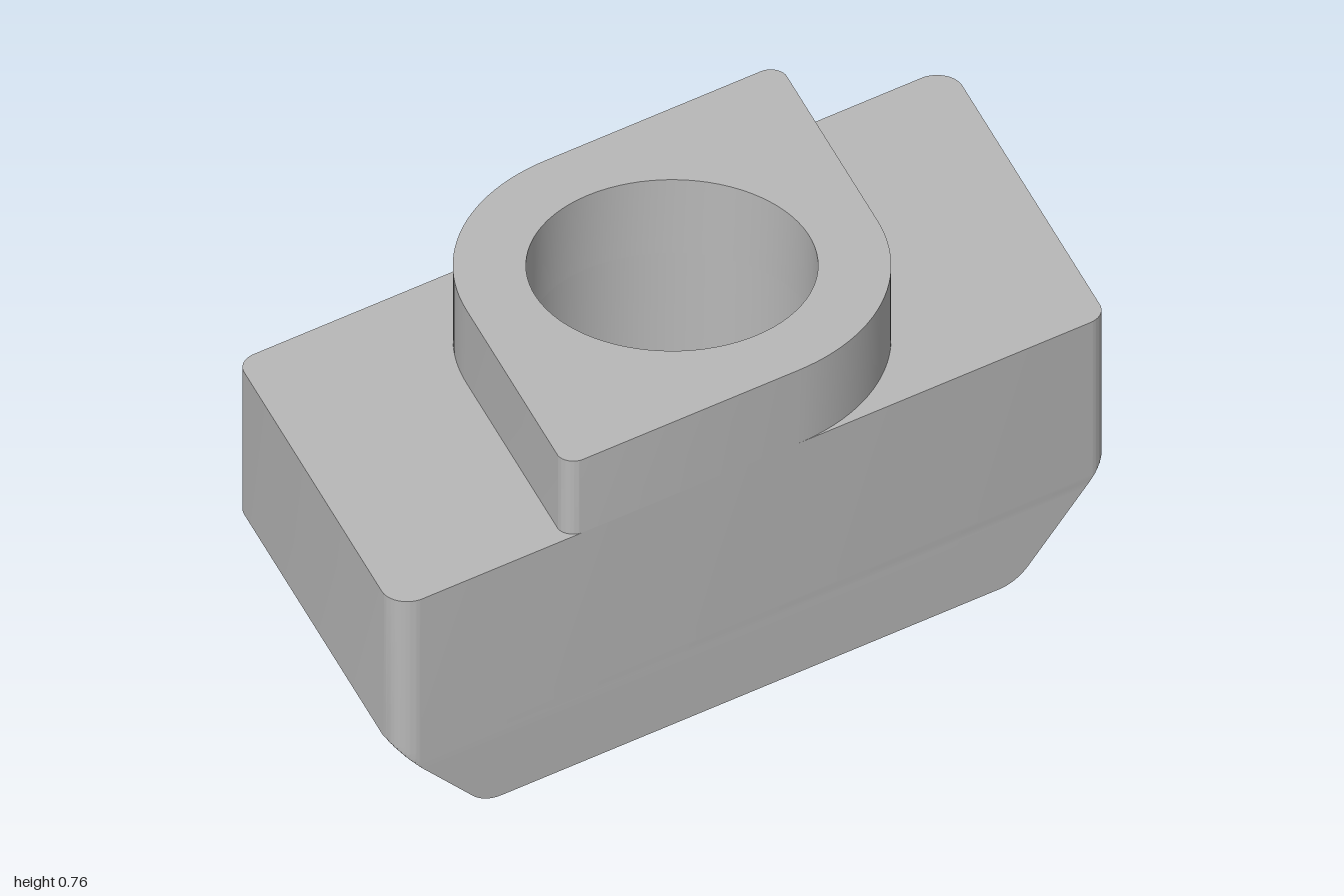
import * as THREE from 'three';
import { toCreasedNormals } from 'three/addons/utils/BufferGeometryUtils.js';

const SLANT = Math.PI / 12;          // lean of the two end faces
const COS = Math.cos(SLANT), SIN = Math.sin(SLANT);
const HALF_DEPTH = 0.45, BORE = 0.3;

// Parallelogram outline, counter-clockwise, with its own radius for the
// obtuse and the acute corners; the second half repeats the first turned 180°.
function outline(halfWidth, obtuse, acute) {
  const half = [];
  const arc = (r, side, from, to) => {
    const cy = side * (HALF_DEPTH - r);
    const cx = (halfWidth - r + cy * SIN) / COS;
    const n = 24;
    for (let i = 0; i <= n; i++) {
      const a = from + (to - from) * i / n;
      half.push(new THREE.Vector2(cx + r * Math.cos(a), cy + r * Math.sin(a)));
    }
  };
  arc(obtuse, -1, -Math.PI / 2, -SLANT);
  arc(acute, 1, -SLANT, Math.PI / 2);
  return [...half, ...half.map(p => new THREE.Vector2(-p.x, -p.y))];
}

// Solid with a round bore; each level is [height, half width between end planes].
function boredSolid(points, levels) {
  const pos = [];
  const tri = (...corners) => corners.forEach(([p, y]) => pos.push(p.x, y, -p.y));
  const clip = limit => points.map(p => {
    const shift = p.y * SIN / COS;
    return new THREE.Vector2(THREE.MathUtils.clamp(p.x - shift, -limit / COS, limit / COS) + shift, p.y);
  });
  const wall = (a, ya, b, yb) => a.forEach((p, i) => {
    const j = (i + 1) % a.length;
    tri([p, ya], [a[j], ya], [b[j], yb]);
    tri([p, ya], [b[j], yb], [b[i], yb]);
  });
  const hole = [];
  for (let i = 0; i < 80; i++) {
    const a = -i / 80 * Math.PI * 2;
    hole.push(new THREE.Vector2(BORE * Math.cos(a), BORE * Math.sin(a)));
  }
  const rings = levels.map(([y, limit]) => ({ y, ring: clip(limit) }));
  for (let i = 1; i < rings.length; i++) {
    wall(rings[i - 1].ring, rings[i - 1].y, rings[i].ring, rings[i].y);
  }
  const bottom = rings[0], top = rings[rings.length - 1];
  wall(hole, bottom.y, hole, top.y);
  for (const { ring, y } of [bottom, top]) {
    const all = [...ring, ...hole];
    for (const [a, b, c] of THREE.ShapeUtils.triangulateShape(ring, [hole])) {
      if (y === top.y) tri([all[a], y], [all[b], y], [all[c], y]);
      else tri([all[a], y], [all[c], y], [all[b], y]);
    }
  }
  const geometry = new THREE.BufferGeometry();
  geometry.setAttribute('position', new THREE.Float32BufferAttribute(pos, 3));
  return toCreasedNormals(geometry, 0.5);
}

export function createModel() {
  const group = new THREE.Group();
  group.name = 'slotNut';
  const steel = new THREE.MeshStandardMaterial({ color: 0xb8b8b8 });
  steel.name = 'grey steel';
  const add = (name, geometry) => {
    const mesh = new THREE.Mesh(geometry, steel);
    mesh.name = name;
    group.add(mesh);
  };

  // Body: 45° chamfered ends blending into the underside with a fillet
  const W = 0.865, CHAMFER = 0.22, FILLET = 0.1;
  const start = W - CHAMFER - FILLET * Math.tan(Math.PI / 8);
  const levels = [];
  for (let i = 0; i <= 8; i++) {
    const a = Math.PI / 4 * i / 8;
    levels.push([FILLET * (1 - Math.cos(a)), start + FILLET * Math.sin(a)]);
  }
  for (let i = 0; i <= 12; i++) {
    const y = 0.14 + (CHAMFER - 0.14) * i / 12;
    levels.push([y, W - CHAMFER + y]);
  }
  levels.push([0.58, W]);
  add('body', boredSolid(outline(W, 0.055, 0.055), levels));

  // Raised collar: two broad rounded corners and two tight ones
  add('collar', boredSolid(outline(0.45, 0.45, 0.035), [[0.58, 1], [0.765, 1]]));
  return group;
}
